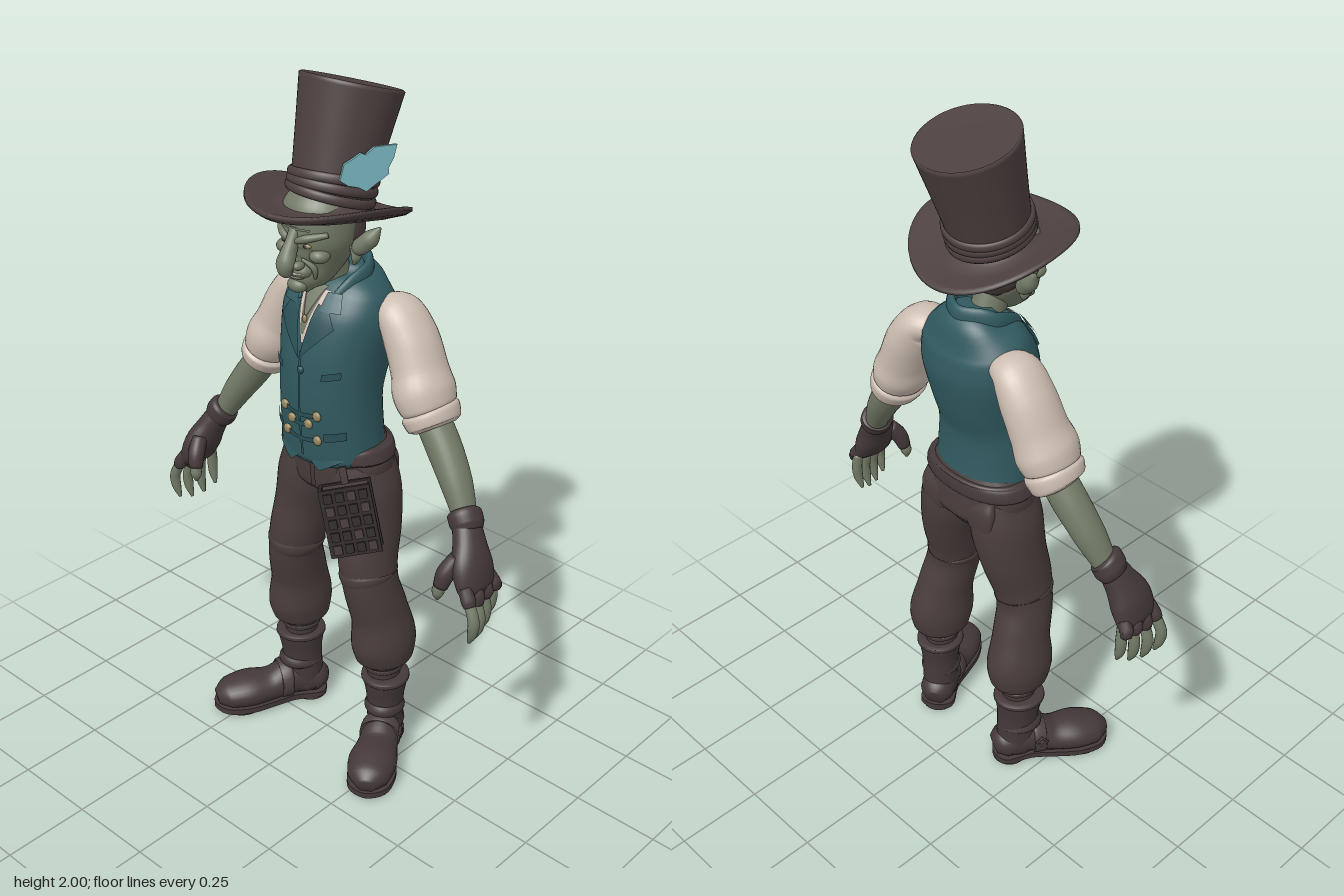
import * as THREE from 'three';

const mat = (name, color) => Object.assign(new THREE.MeshStandardMaterial({ color, side: THREE.DoubleSide }), { name });
const M = {
  felt: mat('hat felt', 0x4d4140), trousers: mat('trouser cloth', 0x493d3c), leather: mat('dark leather', 0x45393a),
  vest: mat('vest teal', 0x315a60), trim: mat('vest trim', 0x2b5056), shirt: mat('shirt linen', 0xcdbeb2),
  skin: mat('green skin', 0x727a66), brass: mat('brass', 0x95865f), feather: mat('feather blue', 0x7dbac2),
  ink: mat('book black', 0x2e2727),
};
const Y = new THREE.Vector3(0, 1, 0), Z = new THREE.Vector3(0, 0, 1);

export function createModel() {
  const model = new THREE.Group();
  model.name = 'gentlemanInTopHat';

  const add = (name, geo, material, parent = model) => {
    const mesh = new THREE.Mesh(geo, material);
    mesh.name = name;
    parent.add(mesh);
    return mesh;
  };

  // Smooth body through oval sections [x, y, z, radius1, radius2]
  function loft(name, rings, material, { ref = Z, parent = model, seg = 28, power = 1, sub = 5 } = {}) {
    const path = new THREE.CatmullRomCurve3(rings.map(r => new THREE.Vector3(r[0], r[1], r[2])));
    const size = new THREE.CatmullRomCurve3(rings.map(r => new THREE.Vector3(r[3], r[4], 0)));
    const n = (rings.length - 1) * sub, pos = [], idx = [];
    const bend = v => Math.sign(v) * Math.abs(v) ** power;
    for (let j = 0; j <= n; j++) {
      const c = path.getPoint(j / n), s = size.getPoint(j / n), t = path.getTangent(j / n);
      const u = t.clone().cross(ref).normalize(), v = u.clone().cross(t);
      for (let i = 0; i < seg; i++) {
        const a = i / seg * Math.PI * 2;
        const p = c.clone().addScaledVector(u, s.x * bend(Math.cos(a))).addScaledVector(v, s.y * bend(Math.sin(a)));
        pos.push(p.x, p.y, p.z);
        if (j === n) continue;
        const A = j * seg + i, C = j * seg + (i + 1) % seg;
        idx.push(A, A + seg, C, C, A + seg, C + seg);
      }
    }
    const start = pos.length / 3;
    pos.push(...rings[0].slice(0, 3), ...rings[rings.length - 1].slice(0, 3));
    for (let i = 0; i < seg; i++) {
      const k = (i + 1) % seg;
      idx.push(start, i, k, start + 1, n * seg + k, n * seg + i);
    }
    const geo = new THREE.BufferGeometry();
    geo.setAttribute('position', new THREE.Float32BufferAttribute(pos, 3));
    geo.setIndex(idx);
    geo.computeVertexNormals();
    return add(name, geo, material, parent);
  }

  // Thin four-cornered panel draped over the front of a body
  const ray = new THREE.Raycaster();
  const frontZ = (target, x, y) => {
    ray.set(new THREE.Vector3(x, y, 1), new THREE.Vector3(0, 0, -1));
    const hit = ray.intersectObject(target)[0];
    return hit ? hit.point.z : 0;
  };
  function patch(name, target, material, [a, b, c, d], off, n = 8) {
    const geo = new THREE.PlaneGeometry(1, 1, n, n), p = geo.attributes.position;
    const mix = THREE.MathUtils.lerp;
    for (let i = 0; i < p.count; i++) {
      const u = p.getX(i) + 0.5, v = p.getY(i) + 0.5;
      const x = mix(mix(a[0], b[0], u), mix(d[0], c[0], u), v);
      const y = mix(mix(a[1], b[1], u), mix(d[1], c[1], u), v);
      p.setXYZ(i, x, y, frontZ(target, x, y) + off);
    }
    geo.computeVertexNormals();
    return add(name, geo, material);
  }
  const ball = (name, x, y, z, rx, ry, rz, material) => {
    const b = add(name, new THREE.SphereGeometry(1, 18, 12), material);
    b.position.set(x, y, z);
    b.scale.set(rx, ry, rz);
    return b;
  };

  // Torso, vest and collar
  const vest = loft('vest', [[0, .97, -.03, .152, .12], [0, 1.05, -.022, .147, .12], [0, 1.15, -.018, .143, .123], [0, 1.25, -.033, .15, .134],
    [0, 1.35, -.055, .163, .133], [0, 1.42, -.072, .155, .11], [0, 1.47, -.085, .105, .075], [0, 1.5, -.085, .06, .045]], M.vest, { seg: 48, power: .88 });
  loft('collar', [[-.05, 1.4, .045, .01, .02], [-.075, 1.455, -.01, .014, .028], [-.075, 1.485, -.08, .014, .03], [0, 1.495, -.128, .014, .03],
    [.075, 1.485, -.08, .014, .03], [.075, 1.455, -.01, .014, .028], [.05, 1.4, .045, .01, .02]], M.vest, { ref: Y });
  patch('shirtFront', vest, M.shirt, [[-.003, 1.31], [.003, 1.31], [.046, 1.45], [-.046, 1.45]], .004);
  patch('bareChest', vest, M.skin, [[-.002, 1.335], [.002, 1.335], [.034, 1.46], [-.034, 1.46]], .007);
  const hips = loft('trouserSeat', [[0, 1.02, -.04, .14, .1], [0, .95, -.05, .172, .112], [0, .88, -.055, .165, .11], [0, .83, -.06, .09, .07]], M.trousers, { power: .9 });
  loft('belt', [[0, .962, -.046, .173, .114], [0, .97, -.046, .178, .12], [0, 1.0, -.044, .168, .118], [0, 1.008, -.044, .155, .11]], M.leather, { seg: 36, power: .9 });
  patch('frontClosure', vest, M.trim, [[-.004, .98], [.004, .98], [.004, 1.29], [-.004, 1.29]], .004);
  patch('trouserFly', hips, M.leather, [[-.004, .86], [.012, .87], [.014, .96], [-.004, .96]], .004);
  ball('topButton', 0, 1.235, frontZ(vest, 0, 1.235), .011, .011, .007, M.trim);
  ball('pendant', 0, 1.375, frontZ(vest, 0, 1.375) + .008, .007, .011, .006, M.brass);
  for (const s of [-1, 1]) {
    patch('cord', vest, M.leather, [[0, 1.38], [s * .005, 1.38], [s * .034, 1.455], [s * .028, 1.455]], .009);
    patch('lapel', vest, M.trim, [[0, 1.27], [s * .092, 1.365], [s * .07, 1.405], [s * .03, 1.42]], .011);
    patch('upperCollar', vest, M.vest, [[s * .04, 1.405], [s * .1, 1.405], [s * .085, 1.45], [s * .045, 1.45]], .014);
    patch('vestPoint', hips, M.vest, [[s * .05, .945], [s * .056, .945], [s * .12, .985], [s * .002, .985]], .03);
    patch('pocketFlap', vest, M.trim, [[s * .075, 1.04], [s * .125, 1.05], [s * .125, 1.075], [s * .075, 1.065]], .007);
    patch('chestPocket', vest, M.trim, [[s * .07, 1.22], [s * .115, 1.23], [s * .115, 1.25], [s * .07, 1.24]], .007);
    for (const [x, y] of [[.058, 1.115], [.03, 1.085], [.055, 1.04]]) {
      patch('buttonTab', vest, M.trim, [[0, y - .014], [s * x, y - .008], [s * x, y + .008], [0, y - .002]], .006);
      ball('brassButton', s * x, y, frontZ(vest, s * x, y) + .005, .014, .014, .008, M.brass);
    }
  }

  // Head
  loft('neck', [[0, 1.36, -.06, .05, .05], [0, 1.43, -.045, .045, .046], [0, 1.5, -.015, .045, .05], [0, 1.56, .01, .05, .05]], M.skin);
  const head = loft('head', [[0, 1.46, .098, .02, .018], [0, 1.485, .085, .043, .045], [0, 1.52, .055, .063, .075], [0, 1.56, .036, .088, .09],
    [0, 1.6, .03, .1, .097], [0, 1.65, .022, .103, .1], [0, 1.69, .01, .09, .085]], M.skin, { seg: 36 });
  loft('hair', [[0, 1.535, -.03, .05, .035], [0, 1.57, -.022, .09, .06], [0, 1.62, -.015, .103, .075], [0, 1.68, -.01, .1, .075]], M.felt);
  loft('nose', [[0, 1.635, .115, .016, .012], [0, 1.6, .128, .017, .018], [0, 1.57, .142, .022, .022], [0, 1.545, .153, .026, .022], [0, 1.528, .15, .02, .02], [0, 1.522, .135, .01, .014]], M.skin, { seg: 18 });
  ball('muzzle', 0, 1.52, .105, .042, .024, .03, M.skin);
  ball('chin', 0, 1.478, .11, .03, .02, .022, M.skin);
  ball('teeth', 0, 1.516, .112, .036, .007, .027, M.shirt);
  ball('lowerLip', 0, 1.505, .115, .03, .007, .018, M.skin);
  for (const s of [-1, 1]) {
    ball('nostril', s * .025, 1.542, .132, .014, .012, .018, M.skin);
    ball('cheek', s * .058, 1.565, .088, .027, .02, .028, M.skin);
    ball('eye', s * .038, 1.593, .112, .014, .007, .01, M.brass);
    ball('pupil', s * .037, 1.593, .12, .005, .005, .004, M.ink);
    loft('brow', [[s * .012, 1.603, .128, .007, .007], [s * .04, 1.613, .12, .01, .011], [s * .085, 1.625, .085, .007, .007]], M.skin, { ref: Y, seg: 12 });
    loft('ear', [[s * .09, 1.56, .0, .01, .012], [s * .112, 1.578, -.006, .023, .024], [s * .138, 1.603, -.014, .023, .022], [s * .162, 1.635, -.022, .004, .005]], M.skin, { seg: 16 });
    loft('earLobe', [[s * .095, 1.58, .002, .008, .014], [s * .105, 1.55, .002, .01, .016], [s * .1, 1.53, .004, .004, .006]], M.skin, { seg: 12 });
    loft('smileFold', [[s * .026, 1.557, .12, .004, .004], [s * .05, 1.532, .1, .008, .009], [s * .047, 1.502, .092, .004, .004]], M.skin, { seg: 10 });
  }
  patch('foreheadCrease', head, M.skin, [[-.05, 1.632], [.05, 1.632], [.05, 1.638], [-.05, 1.638]], .004);

  // Top hat with upswept brim, folded band and feather
  const hat = new THREE.Group();
  hat.name = 'topHat';
  hat.position.set(0, 1.645, 0);
  model.add(hat);
  const turned = pts => new THREE.LatheGeometry(pts.map(p => new THREE.Vector2(...p)), 56);
  const crown = add('crown', turned([[.1, 0], [.106, .05], [.112, .12], [.123, .22], [.135, .322], [.136, .33], [.131, .334], [.127, .33], [0, .33]]), M.felt, hat);
  crown.rotation.x = -.285;
  [[.05, .112], [.072, .112], [.092, .112]].forEach(([y, r], i) => {
    const fold = add('hatBandFold', new THREE.TorusGeometry(r, .008, 10, 56).rotateX(Math.PI / 2).scale(1, 1.6, 1), M.felt, crown);
    fold.position.y = y;
    fold.rotation.z = (i - 1) * .06;
  });
  const brimGeo = turned([[.09, -.015], [.15, -.015], [.2, -.01], [.216, -.002], [.216, .007], [.203, .01], [.15, .006], [.115, .012], [.1, .03]]);
  const bp = brimGeo.attributes.position;
  for (let i = 0; i < bp.count; i++) bp.setY(i, bp.getY(i) + 1.15 * bp.getX(i) ** 2);
  brimGeo.computeVertexNormals();
  add('brim', brimGeo, M.felt, hat).rotation.x = -.18;

  const plume = [[0, .035], [.01, .075], [.035, .088], [.055, .1], [.068, .094], [.09, .112], [.15, .113], [.142, .08], [.128, .055], [.13, .04], [.1, .02], [.07, 0], [.05, .012], [.02, .02]];
  const feather = add('feather', new THREE.ExtrudeGeometry(new THREE.Shape(plume.map(p => new THREE.Vector2(...p))), { depth: .008, bevelEnabled: false }), M.feather);
  feather.position.set(.088, 1.725, .05);
  feather.rotation.y = 1.093;

  for (const s of [-1, 1]) {
    const limb = (name, rings, m, o) => loft(name, rings.map(([x, ...r]) => [x * s, ...r]), m, o);

    // Arm, rolled sleeve, fingerless glove
    limb('sleeve', [[.12, 1.395, -.09, .035, .05], [.172, 1.385, -.092, .056, .072], [.215, 1.325, -.093, .068, .08], [.25, 1.25, -.088, .071, .083],
      [.272, 1.2, -.082, .078, .092], [.292, 1.16, -.08, .07, .084], [.3, 1.145, -.08, .05, .06]], M.shirt);
    limb('sleeveRoll', [[.29, 1.16, -.08, .06, .07], [.298, 1.146, -.08, .074, .087], [.314, 1.117, -.079, .067, .08], [.32, 1.108, -.078, .05, .06]], M.shirt);
    limb('forearm', [[.29, 1.15, -.08, .045, .05], [.35, 1.07, -.072, .048, .049], [.41, .985, -.058, .042, .045], [.46, .9, -.04, .031, .034], [.48, .87, -.03, .03, .035]], M.skin);
    limb('gloveCuff', [[.448, .925, -.043, .034, .036], [.454, .918, -.04, .045, .048], [.466, .898, -.036, .046, .048], [.478, .88, -.03, .036, .042]], M.leather);
    limb('glove', [[.465, .9, -.035, .035, .04], [.49, .855, -.02, .038, .05], [.515, .8, -.004, .042, .068], [.535, .75, 0, .032, .068], [.543, .728, 0, .018, .05]], M.leather);
    limb('gloveThumb', [[.49, .83, .03, .02, .024], [.478, .79, .058, .025, .025], [.47, .75, .07, .02, .02]], M.leather, { seg: 14 });
    limb('thumb', [[.472, .765, .068, .016, .016], [.466, .735, .073, .017, .017], [.464, .71, .073, .005, .005]], M.skin, { seg: 12 });
    for (let f = 0; f < 4; f++) {
      const z = .055 - .037 * f, e = [.01, 0, .005, .025][f], x = .012 * f;
      limb('gloveFinger', [[.535, .765, z * .9, .018, .018], [.552, .735, z, .021, .02], [.561 - x * .5, .71 + e, z * 1.05, .017, .017]], M.leather, { seg: 12 });
      limb('finger', [[.556 - x * .5, .72 + e, z, .015, .015], [.577 - x, .672 + e, z * 1.1, .016, .016], [.574 - x, .635 + e, z * 1.08, .014, .014], [.562 - x, .6 + e, z * 1.02, .005, .005]], M.skin, { seg: 12 });
    }

    // Baggy trouser leg gathered at the ankle
    limb('trouserLeg', [[.085, .95, -.05, .075, .1], [.1, .85, -.052, .092, .11], [.12, .75, -.045, .083, .102], [.135, .65, -.025, .077, .093], [.148, .57, -.025, .074, .086],
      [.16, .47, -.05, .076, .09], [.167, .38, -.062, .086, .104], [.167, .32, -.066, .08, .09], [.167, .285, -.066, .05, .056], [.167, .25, -.066, .046, .05]], M.trousers, { seg: 32 });
    limb('kneeFold', [[.138, .635, -.025, .06, .07], [.14, .615, -.022, .079, .091], [.146, .585, -.024, .07, .08]], M.trousers);
    limb('ankleBand', [[.167, .295, -.066, .045, .05], [.167, .288, -.066, .056, .06], [.167, .276, -.066, .054, .058], [.167, .27, -.066, .045, .05]], M.trousers);
    limb('backPocket', [[.085, .96, -.13, .045, .015], [.088, .92, -.137, .05, .024], [.09, .87, -.137, .045, .022], [.09, .85, -.13, .02, .01]], M.trousers, { power: .7 });

    // Boot turned outward
    const boot = new THREE.Group();
    boot.name = 'boot';
    boot.position.set(s * .173, 0, -.066);
    boot.rotation.y = s * .52;
    model.add(boot);
    const part = { parent: boot }, along = { parent: boot, ref: Y };
    loft('bootShaft', [[0, .04, -.012, .052, .06], [0, .12, -.008, .053, .06], [0, .18, -.005, .056, .062], [0, .25, -.002, .068, .074]], M.leather, part);
    loft('bootRim', [[0, .235, -.002, .064, .07], [0, .242, -.002, .071, .076], [0, .252, -.002, .07, .075], [0, .256, -.002, .06, .064]], M.leather, part);
    loft('ankleCrease', [[0, .125, 0, .05, .056], [0, .14, 0, .06, .067], [0, .158, -.002, .054, .06]], M.leather, part);
    loft('bootFoot', [[0, .05, -.078, .03, .03], [0, .06, -.05, .052, .05], [0, .075, .03, .053, .06], [0, .058, .1, .06, .048], [0, .056, .17, .071, .05],
      [0, .05, .235, .06, .042], [0, .042, .27, .025, .022]], M.leather, along);
    loft('instepStrap', [[0, .074, .035, .05, .056], [0, .074, .04, .06, .065], [0, .069, .07, .061, .06], [0, .069, .075, .05, .05]], M.felt, along);
    const buckle = add('buckle', new THREE.TorusGeometry(.016, .005, 6, 4), M.leather, boot);
    buckle.position.set(s * .06, .085, .055);
    buckle.rotation.y = Math.PI / 2;
    const solePts = [[0, -.082], [.05, -.058], [.045, .03], [.058, .1], [.07, .18], [.053, .25], [0, .278], [-.053, .25], [-.07, .18], [-.058, .1], [-.045, .03], [-.05, -.058]];
    const outline = new THREE.CatmullRomCurve3(solePts.map(p => new THREE.Vector3(...p, 0)), true).getPoints(48).slice(0, -1);
    const sole = new THREE.ExtrudeGeometry(new THREE.Shape(outline.map(p => new THREE.Vector2(p.x, p.y))), { depth: .018, bevelEnabled: false });
    add('sole', sole.rotateX(Math.PI / 2).translate(0, .026, 0), M.leather, boot);
    add('heel', new THREE.CylinderGeometry(.05, .05, .02, 28).translate(0, .01, -.03), M.leather, boot);
    add('toeTread', new THREE.CylinderGeometry(.064, .064, .014, 28).translate(0, .007, .19), M.leather, boot);
  }

  // Studded book hanging from the belt
  const book = new THREE.Group();
  book.name = 'beltBook';
  book.position.set(.167, .84, .082);
  book.rotation.set(0, .69, .27, 'ZYX');
  model.add(book);
  const box = (name, w, h, d, x, y, z, m) => add(name, new THREE.BoxGeometry(w, h, d).translate(x, y, z), m, book);
  box('pages', .125, .185, .04, 0, 0, 0, M.trousers);
  for (const z of [-.025, .025]) box('bookCover', .138, .195, .01, 0, 0, z, M.ink);
  box('bookSpine', .01, .195, .055, -.067, 0, 0, M.ink);
  for (let i = 0; i < 4; i++) for (let j = 0; j < 5; j++)
    box('coverStud', .023, .026, .008, -.048 + i * .032, -.074 + j * .037, .033, (i + j) % 3 ? M.ink : M.leather);
  box('bookStrap', .02, .06, .008, 0, .11, -.02, M.leather);

  return model;
}
